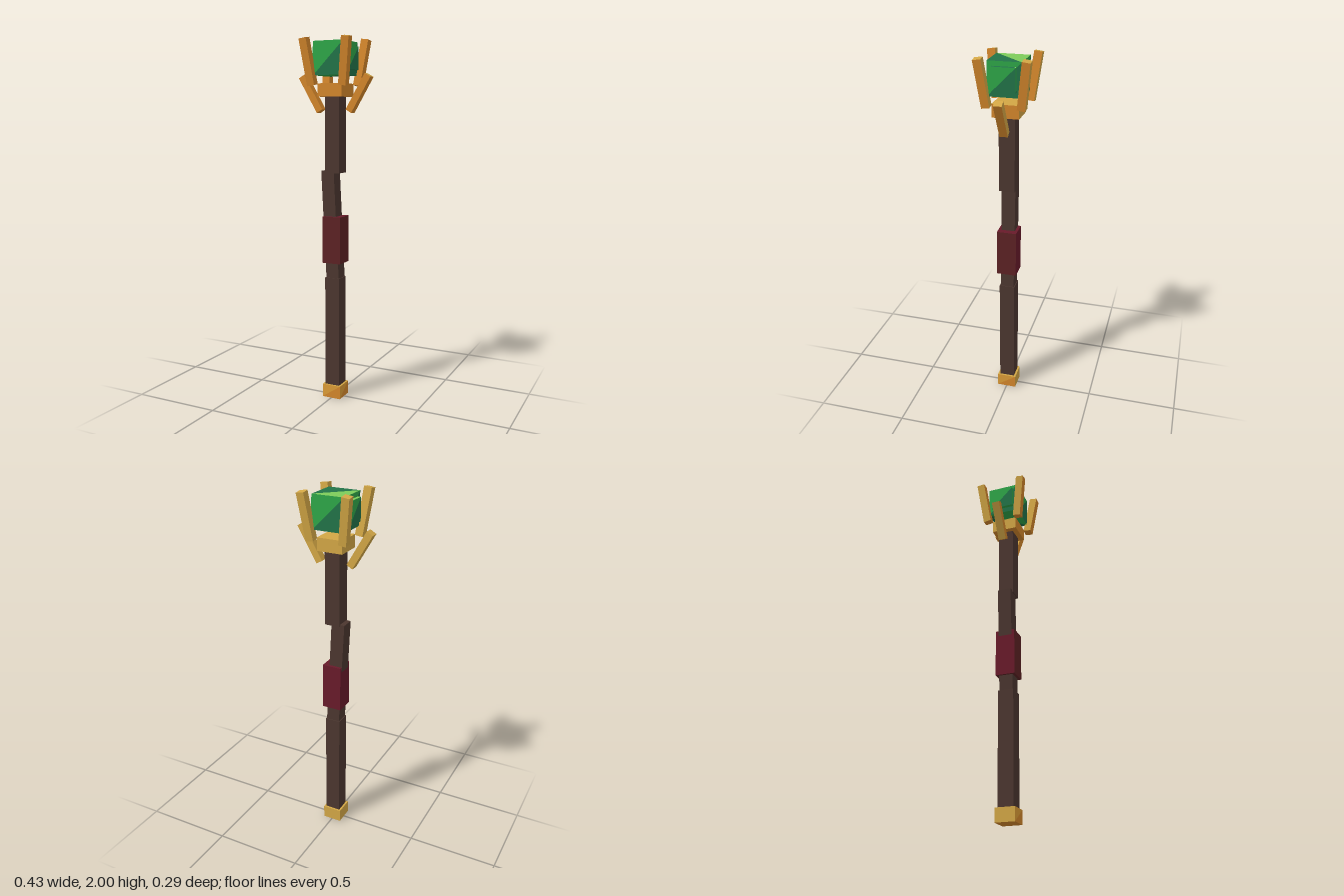
import * as THREE from 'three';

const material = (name, color) => {
  const m = new THREE.MeshStandardMaterial({ color });
  m.name = name;
  return m;
};

export function createModel() {
  const wood = material('darkWood', 0x4b362f);
  const red = material('redLeather', 0x5c2224);
  const crimson = material('crimsonLeather', 0x681a2a);
  const orange = material('orangeGold', 0xd3862b);
  const amber = material('amberGold', 0xdc9c36);
  const gold = material('yellowGold', 0xd2a645);
  const lightGreen = material('lightGreen', 0x7dcb5a);
  const green = material('green', 0x2ea648);
  const darkGreen = material('darkGreen', 0x227348);

  const model = new THREE.Group();
  model.name = 'staff';

  // Box with one material, or six in the order +x, -x, +y, -y, +z, -z
  function box(name, size, pos, mat, rot = [0, 0, 0]) {
    const mesh = new THREE.Mesh(new THREE.BoxGeometry(...size), mat);
    mesh.name = name;
    mesh.position.set(...pos);
    mesh.rotation.set(...rot);
    model.add(mesh);
    return mesh;
  }

  // Box whose faces are split along the diagonal into two colours
  function splitBox(name, size, pos, pairs) {
    const mesh = box(name, size, pos, pairs.flat());
    mesh.geometry.clearGroups();
    for (let i = 0; i < 12; i++) mesh.geometry.addGroup(i * 3, 3, i);
    return mesh;
  }

  const goldFaces = [orange, gold, gold, orange, orange, gold];
  const redFaces = [red, crimson, crimson, red, red, crimson];

  // Shaft: two straight lengths joined by a leaning one
  box('lowerShaft', [0.086, 0.63, 0.086], [0, 0.38, 0], wood);
  box('bentShaft', [0.076, 0.64, 0.076], [-0.014, 0.973, 0], wood, [0, 0, 0.052]);
  box('upperShaft', [0.086, 0.42, 0.086], [0, 1.49, 0], wood);
  box('grip', [0.108, 0.26, 0.108], [0, 0.91, 0], redFaces);

  // Metal fittings
  splitBox('pommel', [0.108, 0.074, 0.108], [0, 0.037, 0], [
    [amber, orange], [gold, gold], [gold, gold], [orange, orange], [amber, orange], [gold, gold],
  ]);
  box('collar', [0.144, 0.07, 0.144], [0, 1.725, 0], goldFaces);

  // Gem with a smaller block standing out on both sides
  const side = [green, darkGreen];
  const gemFaces = [side, side, [lightGreen, darkGreen], side, side, side];
  splitBox('gem', [0.178, 0.178, 0.178], [0, 1.891, 0], gemFaces);
  splitBox('gemSides', [0.214, 0.124, 0.124], [0, 1.893, 0], gemFaces);

  // Prongs: four around the gem, one low on each side
  for (const sx of [-1, 1]) {
    for (const sz of [-1, 1]) {
      box('upperProng', [0.043, 0.25, 0.043], [sx * 0.108, 1.872, sz * 0.108],
        goldFaces, [sz * 0.13, 0, -sx * 0.13]);
    }
    box('lowerProng', [0.038, 0.218, 0.044], [sx * 0.142, 1.707, 0],
      goldFaces, [0, 0, -sx * 0.53]);
  }
  return model;
}
